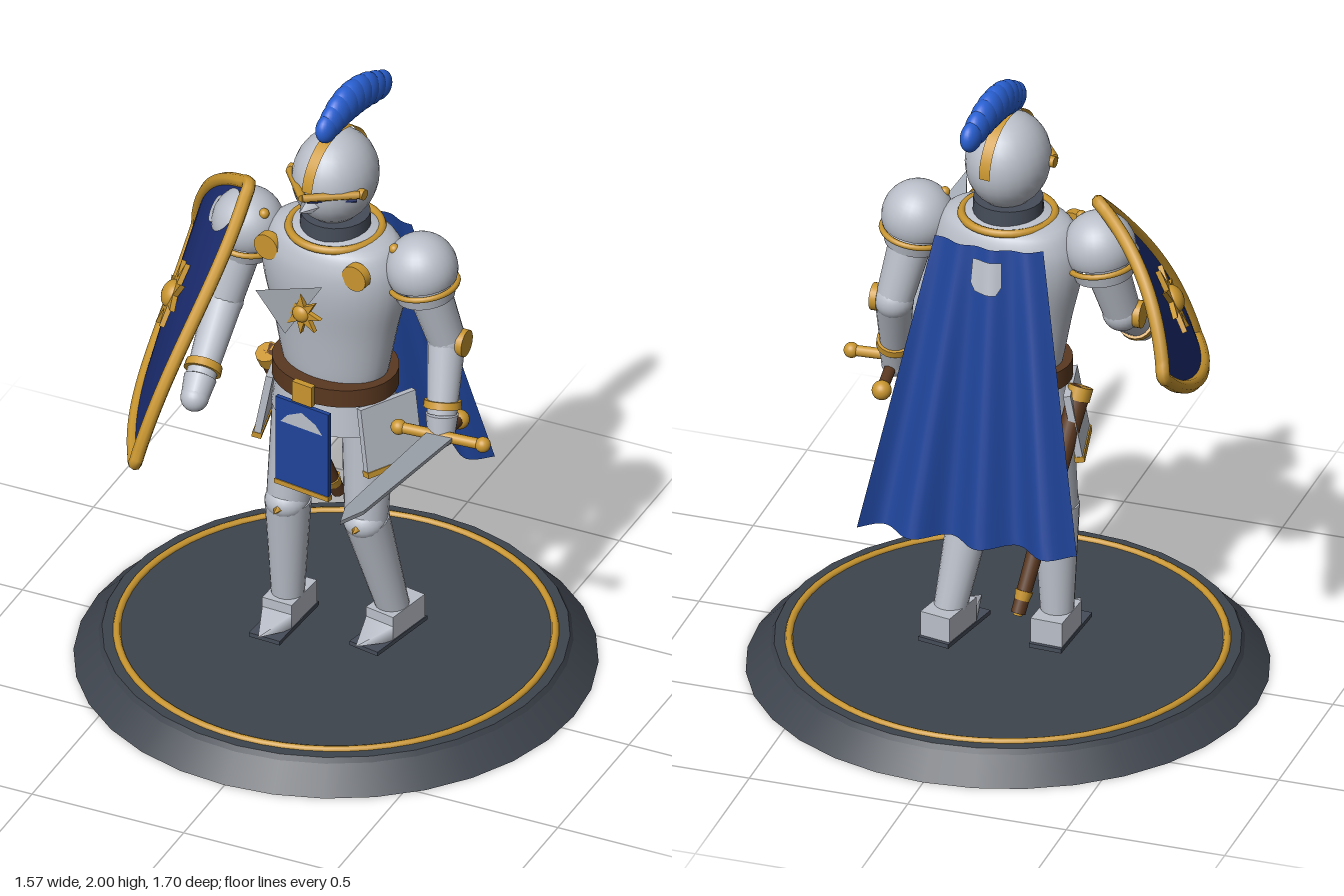
import * as THREE from 'three';

const V = (x, y, z) => new THREE.Vector3(x, y, z);
function mat(name, color, double) {
  const m = new THREE.MeshStandardMaterial({ color });
  m.name = name;
  if (double) m.side = THREE.DoubleSide;
  return m;
}

export function createModel() {
  const root = new THREE.Group();
  root.name = 'knight';
  const steel = mat('steel', 0xbabfc9, true), gold = mat('gold', 0xc9962f, true);
  const stone = mat('stone', 0x3e444d), dark = mat('darkIron', 0x464d59);
  const cloth = mat('blueCloth', 0x1f449a, true), navy = mat('shieldBlue', 0x1b2c70, true);
  const plumeBlue = mat('plumeBlue', 0x2960d2), leather = mat('leather', 0x5a3820);
  const bladeSteel = mat('bladeSteel', 0xa6acb5);

  const add = (parent, name, geo, m, x = 0, y = 0, z = 0) => {
    const mesh = new THREE.Mesh(geo, m);
    mesh.name = name;
    mesh.position.set(x, y, z);
    parent.add(mesh);
    return mesh;
  };
  const group = (parent, name, x = 0, y = 0, z = 0) => {
    const g = new THREE.Group();
    g.name = name;
    g.position.set(x, y, z);
    parent.add(g);
    return g;
  };
  const box = (w, h, d) => new THREE.BoxGeometry(w, h, d);
  const ball = (r) => new THREE.SphereGeometry(r, 24, 16);
  const cyl = (rt, rb, h, n = 24) => new THREE.CylinderGeometry(rt, rb, h, n);
  // tapered bar running from a to b
  const limb = (parent, name, a, b, ra, rb, m, n = 18) => {
    const d = b.clone().sub(a), c = a.clone().add(b).multiplyScalar(0.5);
    const mesh = add(parent, name, cyl(rb, ra, d.length(), n), m, c.x, c.y, c.z);
    mesh.quaternion.setFromUnitVectors(V(0, 1, 0), d.normalize());
    return mesh;
  };
  // bent sheet: f(s, t) with s in -1..1 across and t in 0..1 downward
  const sheet = (nx, ny, f) => {
    const g = new THREE.PlaneGeometry(2, 1, nx, ny), p = g.attributes.position;
    for (let i = 0; i < p.count; i++) p.setXYZ(i, ...f(p.getX(i), 0.5 - p.getY(i)));
    g.computeVertexNormals();
    return g;
  };
  // rayed sun with a domed hub
  const sun = (parent, name, r, x, y, z) => {
    const g = group(parent, name, x, y, z), shape = new THREE.Shape();
    for (let i = 0; i < 16; i++) {
      const a = i * Math.PI / 8 + Math.PI / 2, k = i % 2 ? r * 0.45 : r;
      i ? shape.lineTo(k * Math.cos(a), k * Math.sin(a)) : shape.moveTo(0, k);
    }
    add(g, 'sunRays', new THREE.ExtrudeGeometry(shape, { depth: 0.016, bevelEnabled: false }), gold);
    add(g, 'sunHub', ball(r * 0.4), gold, 0, 0, 0.012).scale.z = 0.7;
    return g;
  };

  // ---- plinth ----
  const base = group(root, 'plinth', 0, 0, -0.073);
  add(base, 'plinthFoot', cyl(0.71, 0.785, 0.075, 32), stone, 0, 0.0375);
  add(base, 'plinthTop', cyl(0.7, 0.71, 0.016, 32), stone, 0, 0.083);
  add(base, 'plinthRing', new THREE.TorusGeometry(0.655, 0.012, 8, 64).rotateX(Math.PI / 2), gold, 0, 0.09);

  // ---- body, turned slightly to its right ----
  const body = group(root, 'body', 0, 0, -0.07);
  body.rotation.y = -0.15;
  const profile = [[0.17, 1.05], [0.18, 1.09], [0.205, 1.22], [0.233, 1.34], [0.24, 1.42], [0.228, 1.48], [0.19, 1.53], [0.1, 1.55]];
  const curve = new THREE.SplineCurve(profile.map(p => new THREE.Vector2(...p)));
  add(body, 'breastplate', new THREE.LatheGeometry(curve.getPoints(28), 36), steel).scale.z = 0.7;
  add(body, 'neck', cyl(0.105, 0.108, 0.08), dark, 0, 1.55);
  add(body, 'collarRing', new THREE.TorusGeometry(0.14, 0.013, 8, 36).rotateX(Math.PI / 2), gold, 0, 1.535);
  add(body, 'belt', cyl(0.2, 0.2, 0.06, 32), leather, 0, 1.03).scale.z = 0.84;
  add(body, 'buckle', box(0.07, 0.07, 0.02), gold, 0, 1.03, 0.172);
  add(body, 'fauld', cyl(0.185, 0.205, 0.12, 32), steel, 0, 0.95).scale.z = 0.78;
  for (const s of [-1, 1]) {
    add(body, 'roundel', cyl(0.042, 0.042, 0.03).rotateX(Math.PI / 2), gold, s * 0.158, 1.475, 0.125);
    // hip plates
    const tasset = group(body, 'tasset', s * 0.215, 0.89, 0.03);
    tasset.rotation.set(-0.18, s * 1.2, 0, 'YXZ');
    add(tasset, 'tassetPlate', box(0.2, 0.22, 0.022), steel);
    add(tasset, 'tassetHem', box(0.204, 0.018, 0.03), gold, 0, -0.105);
    // front and rear cloth panels
    const tabard = group(body, s > 0 ? 'frontTabard' : 'backTabard', 0, 0.84, s * 0.175);
    add(tabard, 'tabardCloth', box(0.19, 0.3, 0.014), cloth);
    add(tabard, 'tabardHem', box(0.194, 0.016, 0.02), gold, 0, -0.15);
    if (s > 0) {
      const peak = new THREE.Shape([[-0.075, 0], [0.075, 0], [0.05, 0.03], [0, 0.055], [-0.05, 0.03]].map(p => new THREE.Vector2(...p)));
      add(tabard, 'tabardEmblem', new THREE.ShapeGeometry(peak), steel, 0, 0.07, 0.009);
    }
  }
  // chest badge
  const badge = new THREE.BufferGeometry().setFromPoints([V(-0.147, 1.41, 0.18), V(-0.08, 1.235, 0.115), V(0.04, 1.43, 0.11)]);
  badge.computeVertexNormals();
  add(root, 'chestBadge', badge, steel);
  sun(root, 'chestSun', 0.07, -0.02, 1.33, 0.115).rotation.y = -0.15;

  // ---- head ----
  add(body, 'helmet', ball(0.15), steel, 0, 1.717).scale.set(0.84, 1, 0.97);
  add(body, 'helmetCrest', new THREE.CylinderGeometry(0.156, 0.156, 0.036, 36, 1, true, 0.1, Math.PI - 0.1).rotateZ(Math.PI / 2), gold, 0, 1.717);
  add(body, 'beak', new THREE.ConeGeometry(0.055, 0.1, 4).rotateX(Math.PI / 2), steel, 0, 1.683, 0.145);
  for (const s of [-1, 1]) {
    limb(body, 'brow', V(0, 1.727, 0.18), V(s * 0.125, 1.72, 0.06), 0.013, 0.013, gold, 6);
    limb(body, 'eyeSlit', V(0, 1.708, 0.155), V(s * 0.115, 1.703, 0.06), 0.012, 0.012, navy, 6);
    add(body, 'visorRivet', cyl(0.017, 0.017, 0.02).rotateZ(Math.PI / 2), gold, s * 0.125, 1.715, 0.045);
  }
  // plume of overlapping tufts
  const plume = new THREE.CatmullRomCurve3([V(0, 1.905, 0.045), V(0, 1.935, -0.04), V(0, 1.935, -0.13), V(0, 1.905, -0.24)]);
  for (let i = 0; i < 9; i++) {
    const t = i / 8, p = plume.getPoint(t), r = 0.037 + 0.026 * Math.sin(Math.PI * (0.12 + 0.75 * t));
    add(body, 'plumeTuft', ball(r), plumeBlue, p.x, p.y, p.z).scale.x = 0.64;
  }

  // ---- legs ----
  const legs = [
    ['right', V(-0.115, 0.95, -0.075), V(-0.138, 0.55, -0.03), V(-0.148, 0.19, -0.05), -0.05],
    ['left', V(0.105, 0.95, -0.08), V(0.118, 0.545, -0.035), V(0.165, 0.19, -0.125), -0.2],
  ];
  for (const [side, hip, knee, ankle, yaw] of legs) {
    const leg = group(root, side + 'Leg');
    limb(leg, 'thigh', hip, knee, 0.085, 0.066, steel);
    limb(leg, 'shin', knee, ankle, 0.071, 0.05, steel);
    add(leg, 'kneeCop', ball(0.066), steel, knee.x, knee.y, knee.z + 0.01).scale.y = 0.85;
    add(leg, 'kneeStud', new THREE.ConeGeometry(0.016, 0.035, 4).rotateX(Math.PI / 2), gold, knee.x, knee.y, knee.z + 0.085);
    const foot = group(leg, 'foot', ankle.x, 0, ankle.z);
    foot.rotation.y = yaw;
    add(foot, 'shoe', box(0.1, 0.08, 0.16), steel, 0, 0.165, -0.01);
    const toe = new THREE.ConeGeometry(0.07, 0.12, 4, 1).rotateY(Math.PI / 4).rotateX(Math.PI / 2);
    add(foot, 'toe', toe, steel, 0, 0.145, 0.13).scale.y = 0.55;
    add(foot, 'sole', box(0.104, 0.014, 0.25), dark, 0, 0.117, 0.025);
  }

  // ---- arms ----
  const arms = [
    ['left', 1, V(0.29, 1.46, -0.06), V(0.345, 1.2, -0.115), V(0.37, 0.99, -0.03), V(0.375, 0.93, -0.015)],
    ['right', -1, V(-0.29, 1.46, -0.07), V(-0.335, 1.22, 0.0), V(-0.315, 1.07, 0.21), V(-0.31, 1.03, 0.26)],
  ];
  for (const [side, s, shoulder, elbow, wrist, hand] of arms) {
    const arm = group(root, side + 'Arm');
    limb(arm, 'upperArm', shoulder, elbow, 0.07, 0.057, steel);
    limb(arm, 'forearm', elbow, wrist, 0.058, 0.045, steel);
    add(arm, 'elbow', ball(0.06), steel, elbow.x, elbow.y, elbow.z);
    add(arm, 'elbowDisc', cyl(0.042, 0.042, 0.022).rotateZ(Math.PI / 2), gold, elbow.x + s * 0.056, elbow.y, elbow.z);
    const c = elbow.clone().lerp(wrist, 0.82), e = elbow.clone().lerp(wrist, 0.92);
    limb(arm, 'cuffBand', c, e, 0.056, 0.058, gold);
    limb(arm, 'gauntlet', wrist, hand, 0.05, 0.042, steel);
    add(arm, 'fist', ball(0.043), steel, hand.x, hand.y, hand.z);
    // pauldron with lower plate and gilt rim
    const p = group(arm, 'pauldron', shoulder.x, shoulder.y, shoulder.z);
    p.rotation.z = s * 0.15;
    add(p, 'pauldronDome', new THREE.SphereGeometry(0.11, 28, 14, 0, Math.PI * 2, 0, 1.95), steel, 0, 0.01);
    add(p, 'pauldronRim', new THREE.TorusGeometry(0.102, 0.009, 8, 32).rotateX(Math.PI / 2), gold, 0, -0.045);
    add(p, 'pauldronLame', new THREE.CylinderGeometry(0.1, 0.088, 0.045, 28, 1, true), steel, 0, -0.065);
    add(p, 'pauldronStud', ball(0.016), gold, -s * 0.06, 0.09, 0.04);
  }

  // ---- sword, pointing forward ----
  const sword = group(root, 'sword', 0.385, 0.94, 0.02);
  sword.lookAt(0.44, 1.13, 0.84);
  const edge = new THREE.Shape([[-0.042, 0], [0.042, 0], [0.03, 0.72], [0, 0.84], [-0.03, 0.72]].map(p => new THREE.Vector2(...p)));
  const bladeGeo = new THREE.ExtrudeGeometry(edge, { depth: 0.012, bevelEnabled: false }).translate(0, 0, -0.006).rotateX(Math.PI / 2);
  add(sword, 'blade', bladeGeo, bladeSteel);
  add(sword, 'guard', cyl(0.017, 0.017, 0.27, 12).rotateZ(Math.PI / 2), gold, 0, 0, -0.01);
  for (const s of [-1, 1]) add(sword, 'guardEnd', ball(0.024), gold, s * 0.135, 0, -0.01);
  add(sword, 'grip', cyl(0.018, 0.018, 0.15, 12).rotateX(Math.PI / 2), leather, 0, 0, -0.085);
  add(sword, 'pommel', ball(0.03), gold, 0, 0, -0.17);

  // ---- shield ----
  const shield = group(root, 'shield');
  const across = V(0.526, 0.69, 0.493).normalize(), up = V(-0.045, 0.581, -0.813).normalize();
  const out = across.clone().cross(up).normalize();
  up.copy(out).cross(across);
  shield.matrixAutoUpdate = true;
  shield.quaternion.setFromRotationMatrix(new THREE.Matrix4().makeBasis(across, up, out));
  shield.position.set(-0.43, 1.42, -0.21);
  const flank = new THREE.CubicBezierCurve(new THREE.Vector2(0.287, -0.012), new THREE.Vector2(0.31, -0.35), new THREE.Vector2(0.18, -0.68), new THREE.Vector2(0, -0.868));
  const face = (s, t) => {
    const p = flank.getPoint(t), x = s * p.x;
    return [x, p.y + 0.045 * (1 - s * s) * (1 - t), 0.055 * (1 - (x / 0.29) ** 2) * (1 - t * t)];
  };
  add(shield, 'shieldFace', sheet(16, 24, face), navy);
  const rim = [];
  for (let i = 0; i < 12; i++) rim.push(V(...face(-1 + i / 6, 0)));
  for (let i = 0; i < 20; i++) rim.push(V(...face(1, i / 20)));
  for (let i = 20; i > 0; i--) rim.push(V(...face(-1, i / 20)));
  add(shield, 'shieldRim', new THREE.TubeGeometry(new THREE.CatmullRomCurve3(rim, true), 140, 0.021, 8, true), gold);
  sun(shield, 'shieldSun', 0.11, 0, -0.33, 0.05);
  const spot = add(shield, 'shieldSpot', cyl(0.034, 0.034, 0.008, 20).rotateX(Math.PI / 2), steel, 0.15, -0.08, 0.045);
  spot.scale.y = 1.3;
  spot.rotation.y = 0.2;

  // ---- cape ----
  const cape = (s, t) => [
    0.012 + s * (0.17 + 0.17 * t), 1.5 - 0.91 * t,
    -0.25 - 0.175 * t + 0.035 * s * s * (1 - t) - (0.006 + 0.028 * t) * Math.cos((s + 0.75) * Math.PI * 2 / 0.62),
  ];
  add(root, 'cape', sheet(48, 16, cape), cloth);
  add(root, 'capeEmblem', sheet(8, 4, (s, t) => {
    const [x, y, z] = cape(s * 0.26 * (t > 0.8 ? 0.7 : 1) - 0.05, 0.04 + t * 0.11);
    return [x, y, z - 0.006];
  }), steel);

  // ---- scabbard ----
  const top = V(-0.24, 1.0, -0.1), end = V(-0.14, 0.36, -0.39);
  limb(root, 'scabbard', top, end, 0.034, 0.022, leather, 10);
  limb(root, 'scabbardThroat', top, top.clone().lerp(end, 0.06), 0.038, 0.037, gold, 10);
  limb(root, 'scabbardTip', top.clone().lerp(end, 0.9), end.clone().lerp(top, -0.01), 0.028, 0.014, gold, 10);

  return root;
}
